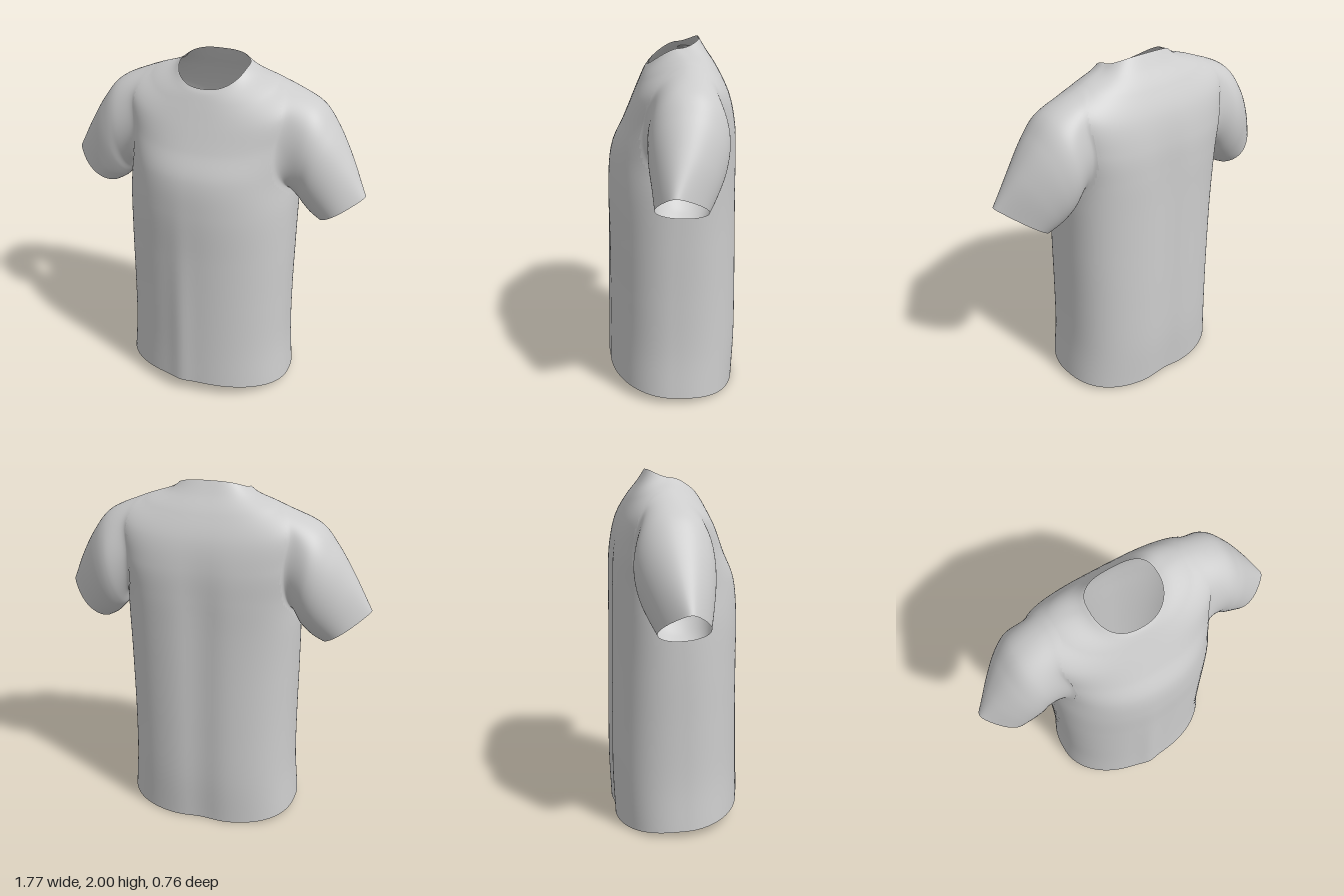
import * as THREE from 'three';

const fabric = new THREE.MeshStandardMaterial({ color: 0xcccccc, side: THREE.DoubleSide });
fabric.name = 'grey fabric';

// Open tube made of closed rings; point(u, angle) gives each vertex, skip(u, angle) leaves a hole.
function loft(name, rings, sides, point, flip, skip = () => false) {
  const pts = [], index = [], turn = (Math.PI * 2) / sides;
  for (let i = 0; i <= rings; i++) {
    for (let j = 0; j < sides; j++) pts.push(point(i / rings, j * turn));
  }
  for (let i = 0; i < rings; i++) {
    for (let j = 0; j < sides; j++) {
      if (skip((i + 0.5) / rings, (j + 0.5) * turn)) continue;
      const a = i * sides + j, b = i * sides + ((j + 1) % sides), c = a + sides, d = b + sides;
      if (flip) index.push(a, c, b, b, c, d);
      else index.push(a, b, c, b, d, c);
    }
  }
  const geo = new THREE.BufferGeometry().setFromPoints(pts);
  geo.setIndex(index);
  geo.computeVertexNormals();
  const mesh = new THREE.Mesh(geo, fabric);
  mesh.name = name;
  return mesh;
}

const power = (v, e) => Math.sign(v) * Math.pow(Math.abs(v), e);
const bump = (v, width) => Math.exp(-((v / width) ** 2));
const { smoothstep } = THREE.MathUtils;

// Body rows: half width, side z, front z, back z, front y, side y, back y
const bodyRows = [
  [0.512, 0.0, 0.372, -0.372, 0.08, 0.035, 0.0],
  [0.492, 0.0, 0.366, -0.384, 0.32, 0.3, 0.28],
  [0.488, 0.0, 0.362, -0.382, 0.62, 0.6, 0.6],
  [0.491, -0.01, 0.36, -0.376, 0.92, 0.92, 0.92],
  [0.492, -0.03, 0.36, -0.37, 1.2, 1.2, 1.2],
  [0.486, -0.06, 0.338, -0.366, 1.4, 1.4, 1.4],
  [0.505, -0.08, 0.27, -0.354, 1.55, 1.62, 1.56],
  [0.505, -0.085, 0.215, -0.32, 1.68, 1.815, 1.71],
  [0.37, -0.085, 0.175, -0.258, 1.775, 1.89, 1.84],
  [0.245, -0.06, 0.15, -0.195, 1.83, 1.93, 1.935],
  [0.192, -0.035, 0.132, -0.155, 1.857, 1.956, 2.0],
];
const lastRow = bodyRows.length - 1;
const bodyCurve = new THREE.CubicInterpolant(bodyRows.map((_, i) => i), bodyRows.flat(), 7);

// Point on the torso at row t and angle a (0 = left side, quarter turn = front).
function bodyPoint(t, a) {
  const [w, mid, zf, zb, yf, ys, yb] = bodyCurve.evaluate(t);
  const s = Math.sin(a), front = s > 0;
  const e = front ? 0.95 - 0.1 * smoothstep(t, 4, 7) : 0.78 - 0.1 * smoothstep(t, 3, 6);
  const k = Math.pow(Math.abs(s), 1.25);
  const x = w * power(Math.cos(a), e);
  const y = ys + ((front ? yf : yb) - ys) * k;
  let z = mid + ((front ? zf : zb) - mid) * Math.pow(Math.abs(s), e);
  // soft drape folds: a ridge low on the front, a hollow down the spine
  if (front) z += k * (1 - smoothstep(y, 0.4, 1.5)) * 0.014 * bump(x + 0.05, 0.06);
  else z += k * 0.018 * bump(x, 0.1) * (1 - smoothstep(y, 1.3, 1.8));
  return new THREE.Vector3(x, y, z);
}

// Armhole: an ellipse on the torso surface, in row and angle.
const hole = { row: 6.15, rowRadius: 1.6, angleRadius: 0.62 };

function makeBody() {
  const inArmhole = (u, a) => {
    const side = Math.atan2(Math.sin(a), Math.abs(Math.cos(a)));
    return Math.hypot((u * lastRow - hole.row) / hole.rowRadius, side / hole.angleRadius) < 1.12;
  };
  return loft('body', 120, 128, (u, a) => bodyPoint(u * lastRow, a), true, inArmhole);
}

// Sleeve rows: top x, top y, bottom x, bottom y, front z, back z, pinch of the top edge
const sleeveRows = [
  [0.59, 1.79, 0.51, 1.25, 0.127, -0.292, 0],
  [0.68, 1.685, 0.54, 1.215, 0.124, -0.283, 0.05],
  [0.78, 1.525, 0.58, 1.175, 0.108, -0.252, 0.2],
  [0.885, 1.33, 0.628, 1.147, 0.088, -0.218, 0.6],
];

function makeSleeve(name, side, apexShift) {
  const point = (u, a) => {
    const h = (1 + Math.cos(a)) / 2;
    // two loops lying on the torso make the shoulder flow into the sleeve
    const path = [1.2, 1].map((r) => bodyPoint(
      hole.row + r * hole.rowRadius * Math.cos(a), r * hole.angleRadius * Math.sin(a)));
    for (const [tx, ty, bx, by, zf, zb, pinch] of sleeveRows) {
      const half = ((zf - zb) / 2) * (1 - pinch * h * h);
      const z = (zf + zb) / 2 + half * power(Math.sin(a), 0.9) + apexShift * h * pinch * 1.7;
      path.push(new THREE.Vector3(bx + (tx - bx) * h, by + (ty - by) * h, z));
    }
    const p = new THREE.CatmullRomCurve3(path).getPoint(u);
    p.x *= side;
    return p;
  };
  return loft(name, 50, 72, point, side < 0);
}

export function createModel() {
  const shirt = new THREE.Group();
  shirt.name = 'shirt';
  shirt.add(makeBody());
  shirt.add(makeSleeve('leftSleeve', 1, 0.055));
  shirt.add(makeSleeve('rightSleeve', -1, 0.01));
  return shirt;
}
